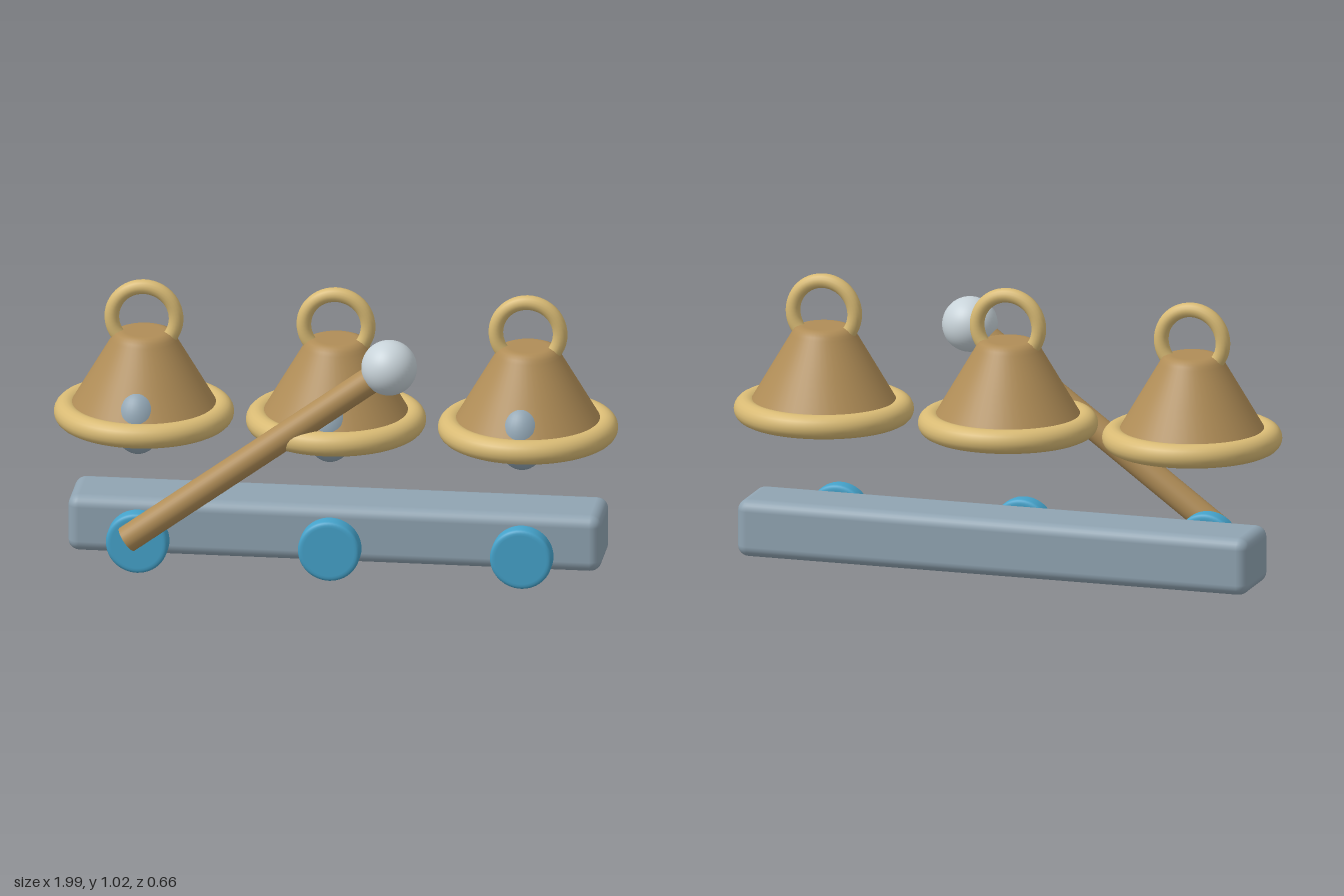
import * as THREE from 'three';
import { RoundedBoxGeometry } from 'three/addons/geometries/RoundedBoxGeometry.js';

const material = (name, color) => {
  const m = new THREE.MeshStandardMaterial({ color });
  m.name = name;
  return m;
};

export function createModel() {
  const bronze = material('bronze', 0xb08d57);
  const brass = material('pale brass', 0xd8ba74);
  const steel = material('blue grey', 0x90a4b2);
  const silver = material('silver', 0xc8d3d9);
  const blue = material('blue', 0x45a3cb);

  const model = new THREE.Group();
  model.name = 'bellSet';
  const add = (parent, name, geometry, mat, x, y, z) => {
    const mesh = new THREE.Mesh(geometry, mat);
    mesh.name = name;
    mesh.position.set(x, y, z);
    parent.add(mesh);
    return mesh;
  };
  const profile = (pts) => new THREE.LatheGeometry(pts.map(([r, y]) => new THREE.Vector2(r, y)), 48);

  // Shared bell shapes, measured from the rim plane
  const bodyGeo = profile([[0.275, 0], [0.193, 0.14], [0.117, 0.269], [0.11, 0.281], [0.1, 0.293], [0.085, 0.299], [0.07, 0.299], [0, 0.299]]);
  const floorGeo = new THREE.CircleGeometry(0.275, 48).rotateX(Math.PI / 2);
  const rimGeo = new THREE.TorusGeometry(0.274, 0.043, 20, 64).rotateX(Math.PI / 2);
  const loopGeo = new THREE.TorusGeometry(0.114, 0.026, 16, 48);
  const clapperGeo = new THREE.SphereGeometry(0.09, 32, 24).scale(1, 1.33, 1);

  // Round button with softened edges, axis along z
  const wheelGeo = profile([[0, -0.033], [0.09, -0.033], [0.098, -0.033], [0.106, -0.03], [0.11, -0.022],
    [0.11, 0.022], [0.106, 0.03], [0.098, 0.033], [0.09, 0.033], [0, 0.033]]).rotateX(Math.PI / 2);

  for (const x of [-0.68, 0, 0.68]) {
    const bell = new THREE.Group();
    bell.name = 'bell';
    bell.position.set(x, 0.534, -0.01);
    add(bell, 'bellBody', bodyGeo, bronze, 0, 0, 0);
    add(bell, 'bellFloor', floorGeo, bronze, 0, 0, 0);
    add(bell, 'bellRim', rimGeo, brass, 0, 0, 0);
    add(bell, 'hangingLoop', loopGeo, brass, 0, 0.348, 0);
    add(bell, 'clapper', clapperGeo, steel, 0, 0.02, 0.165);
    model.add(bell);
    add(model, 'wheel', wheelGeo, blue, x, 0.11, 0.166);
  }

  // Base bar behind the wheels
  add(model, 'baseBar', new RoundedBoxGeometry(1.888, 0.206, 0.263, 3, 0.04), steel, 0, 0.123, -0.0755);

  // Mallet leaning across the front
  const start = new THREE.Vector3(-0.71, 0.138, 0.232);
  const end = new THREE.Vector3(0.219, 0.817, 0.232);
  const mid = start.clone().lerp(end, 0.5);
  const handle = add(model, 'malletHandle', new THREE.CylinderGeometry(0.048, 0.048, start.distanceTo(end), 32),
    bronze, mid.x, mid.y, mid.z);
  handle.quaternion.setFromUnitVectors(new THREE.Vector3(0, 1, 0), end.clone().sub(start).normalize());
  add(model, 'malletHead', new THREE.SphereGeometry(0.098, 40, 28), silver, end.x, end.y, end.z);

  return model;
}
